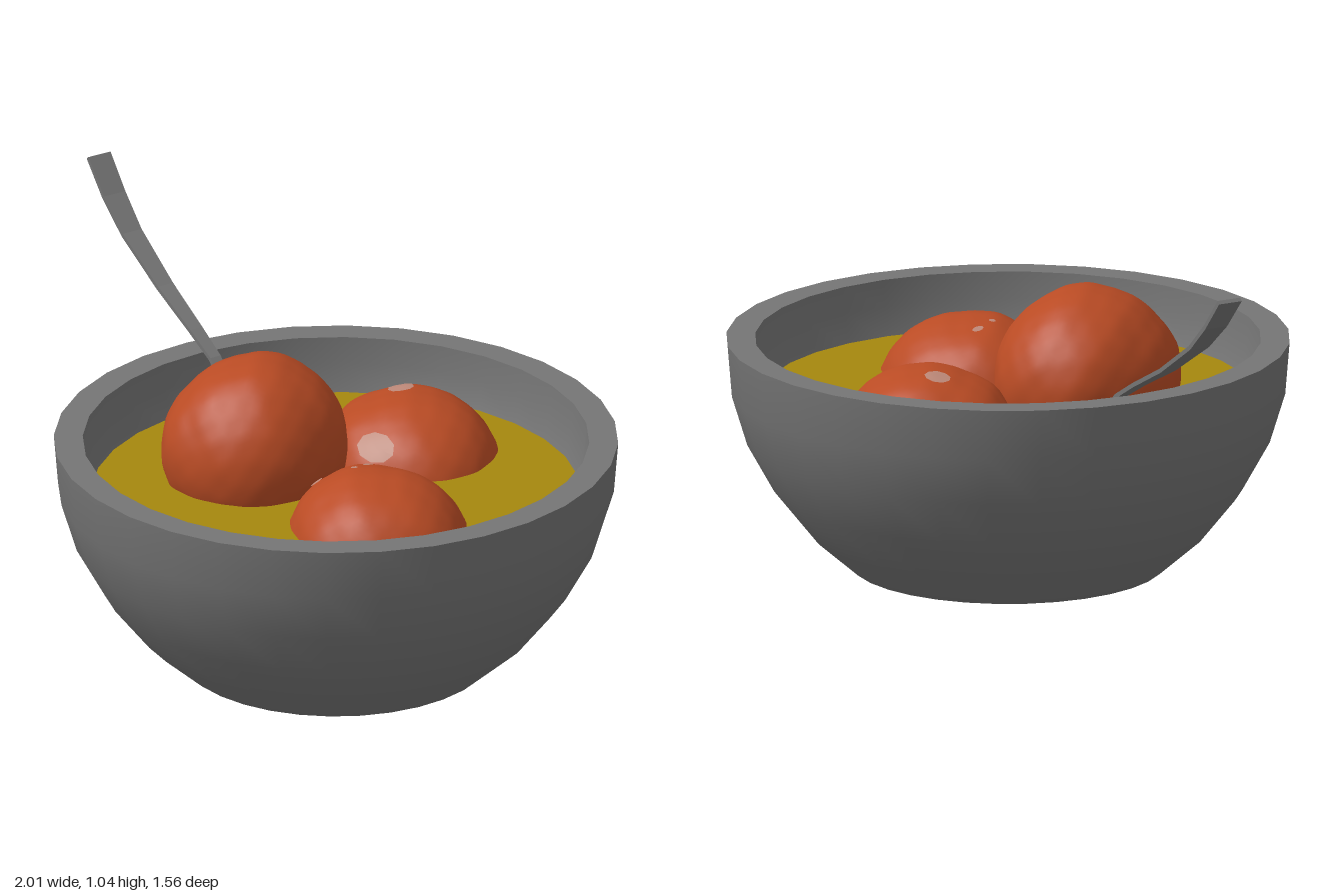
import * as THREE from 'three';
import { mergeVertices } from 'three/addons/utils/BufferGeometryUtils.js';

const mat = (name, color, side = THREE.FrontSide) =>
  Object.assign(new THREE.MeshStandardMaterial({ color, side }), { name });

export function createModel() {
  const model = new THREE.Group();
  const grey = mat('grey stoneware', 0x757575);
  const gold = mat('golden syrup', 0xa5870e);
  const rust = mat('fried rust', 0xb94b24);
  const pale = mat('pale glaze', 0xbd8878, THREE.DoubleSide);

  const add = (name, geometry, material, parent = model) => {
    const mesh = new THREE.Mesh(geometry, material);
    mesh.name = name;
    parent.add(mesh);
    return mesh;
  };

  // Bowl: separate lathes keep the rim and the foot sharp
  const bowl = new THREE.Group();
  bowl.name = 'bowl';
  bowl.position.x = 0.217;
  model.add(bowl);
  const lathe = (name, pts, material = grey) =>
    add(name, new THREE.LatheGeometry(pts.map(p => new THREE.Vector2(...p)), 32), material, bowl);
  lathe('bowlOuterWall', [[0.435, 0], [0.55, 0.1], [0.65, 0.225], [0.725, 0.36], [0.768, 0.5], [0.78, 0.645]]);
  lathe('bowlRim', [[0.78, 0.645], [0.7, 0.645]]);
  lathe('bowlInnerWall', [[0.7, 0.645], [0.694, 0.57], [0.673, 0.48], [0.6, 0.3], [0.4, 0.1], [0, 0.08]]);
  lathe('bowlFoot', [[0, 0], [0.435, 0]]);
  lathe('syrup', [[0.676, 0.49], [0, 0.49]], gold);

  // Dumplings: lumpy ellipsoids with thin glaze patches that follow their surface
  const lump = (d, s) =>
    1 + 0.022 * Math.sin(3.1 * d.x + s) * Math.sin(3.7 * d.z + 2 * s) +
    0.014 * Math.sin(7 * d.x + 2 * d.y + s) * Math.sin(6 * d.z - 3 * d.y) +
    0.006 * Math.sin(17 * d.x + s) * Math.sin(15 * d.y) * Math.sin(16 * d.z + s);

  const dumpling = (name, centre, radii, seed, patches) => {
    const group = new THREE.Group();
    group.name = name;
    group.position.set(...centre);
    model.add(group);
    const r = new THREE.Vector3(...radii);
    const surface = d => d.clone().multiplyScalar(lump(d, seed)).multiply(r);
    const bend = (geometry, rule) => {
      const p = geometry.attributes.position, v = new THREE.Vector3();
      for (let i = 0; i < p.count; i++) {
        const q = rule(v.fromBufferAttribute(p, i));
        p.setXYZ(i, q.x, q.y, q.z);
      }
      geometry.computeVertexNormals();
      return geometry;
    };
    let ball = new THREE.IcosahedronGeometry(1, 16);
    ball.deleteAttribute('uv');
    ball.deleteAttribute('normal');
    ball = mergeVertices(ball, 1e-4);
    add(name + 'Body', bend(ball, v => surface(v.normalize())), rust, group);

    // Each patch: offset in x and z from the centre, then its half sizes
    for (const [x, z, a, b] of patches) {
      const n = new THREE.Vector3(x / r.x, 0, z / r.z);
      n.y = Math.sqrt(Math.max(0, 1 - n.lengthSq()));
      const t = new THREE.Vector3(1, 0, 0).addScaledVector(n, -n.x).normalize();
      const w = n.clone().cross(t);
      const disc = new THREE.RingGeometry(0.001, 1, 9, 3);
      add('glazePatch', bend(disc, v =>
        surface(n.clone().addScaledVector(t, v.x * a / r.x).addScaledVector(w, v.y * b / r.x).normalize())
          .multiplyScalar(1.012)), pale, group);
    }
  };
  dumpling('frontDumpling', [-0.033, 0.572, 0.07], [0.247, 0.253, 0.27], 0.4, []);
  dumpling('backDumpling', [0.13, 0.41, -0.36], [0.27, 0.235, 0.25], 2.1,
    [[-0.07, -0.03, 0.038, 0.04], [0.06, 0.185, 0.06, 0.05]]);
  dumpling('leftDumpling', [0.47, 0.41, 0.08], [0.272, 0.24, 0.25], 4.2,
    [[-0.09, -0.05, 0.012, 0.02], [-0.18, 0.06, 0.02, 0.022], [-0.1, -0.22, 0.02, 0.02], [-0.08, 0.01, 0.01, 0.01]]);

  // Spoon: rectangular sections [x, y, z, width] swept from the tip into the syrup
  const stations = [
    [-0.998, 1.04, -0.235, 0.072], [-0.92, 0.95, -0.22, 0.07], [-0.83, 0.87, -0.203, 0.062],
    [-0.67, 0.767, -0.18, 0.05], [-0.52, 0.69, -0.157, 0.04], [-0.43, 0.638, -0.145, 0.034],
    [-0.37, 0.58, -0.135, 0.034], [-0.34, 0.545, -0.128, 0.06], [-0.305, 0.495, -0.118, 0.135],
    [-0.26, 0.44, -0.11, 0.17], [-0.2, 0.39, -0.1, 0.16], [-0.15, 0.36, -0.09, 0.08]];
  const pos = [], idx = [];
  const thick = 0.006;
  stations.forEach(([x, y, z, w], i) => {
    const a = stations[Math.max(0, i - 1)], b = stations[Math.min(stations.length - 1, i + 1)];
    const along = new THREE.Vector3(b[0] - a[0], b[1] - a[1], b[2] - a[2]).normalize();
    const across = new THREE.Vector3(-along.z, 0, along.x).normalize();
    const up = across.clone().cross(along);
    for (const [s, t] of [[-1, 1], [1, 1], [1, -1], [-1, -1]]) {
      const p = new THREE.Vector3(x, y, z).addScaledVector(across, s * w / 2).addScaledVector(up, t * thick);
      pos.push(p.x, p.y, p.z);
    }
    if (i === 0) return;
    for (let k = 0; k < 4; k++) {
      const c = (i - 1) * 4 + k, d = (i - 1) * 4 + (k + 1) % 4;
      idx.push(c, d, c + 4, d, d + 4, c + 4);
    }
  });
  const last = pos.length / 3 - 4;
  idx.push(0, 2, 1, 0, 3, 2, last, last + 1, last + 2, last, last + 2, last + 3);
  let spoon = new THREE.BufferGeometry();
  spoon.setAttribute('position', new THREE.Float32BufferAttribute(pos, 3));
  spoon.setIndex(idx);
  spoon = spoon.toNonIndexed();
  spoon.computeVertexNormals();
  add('spoon', spoon, mat('spoon steel', 0x757575, THREE.DoubleSide));

  return model;
}
